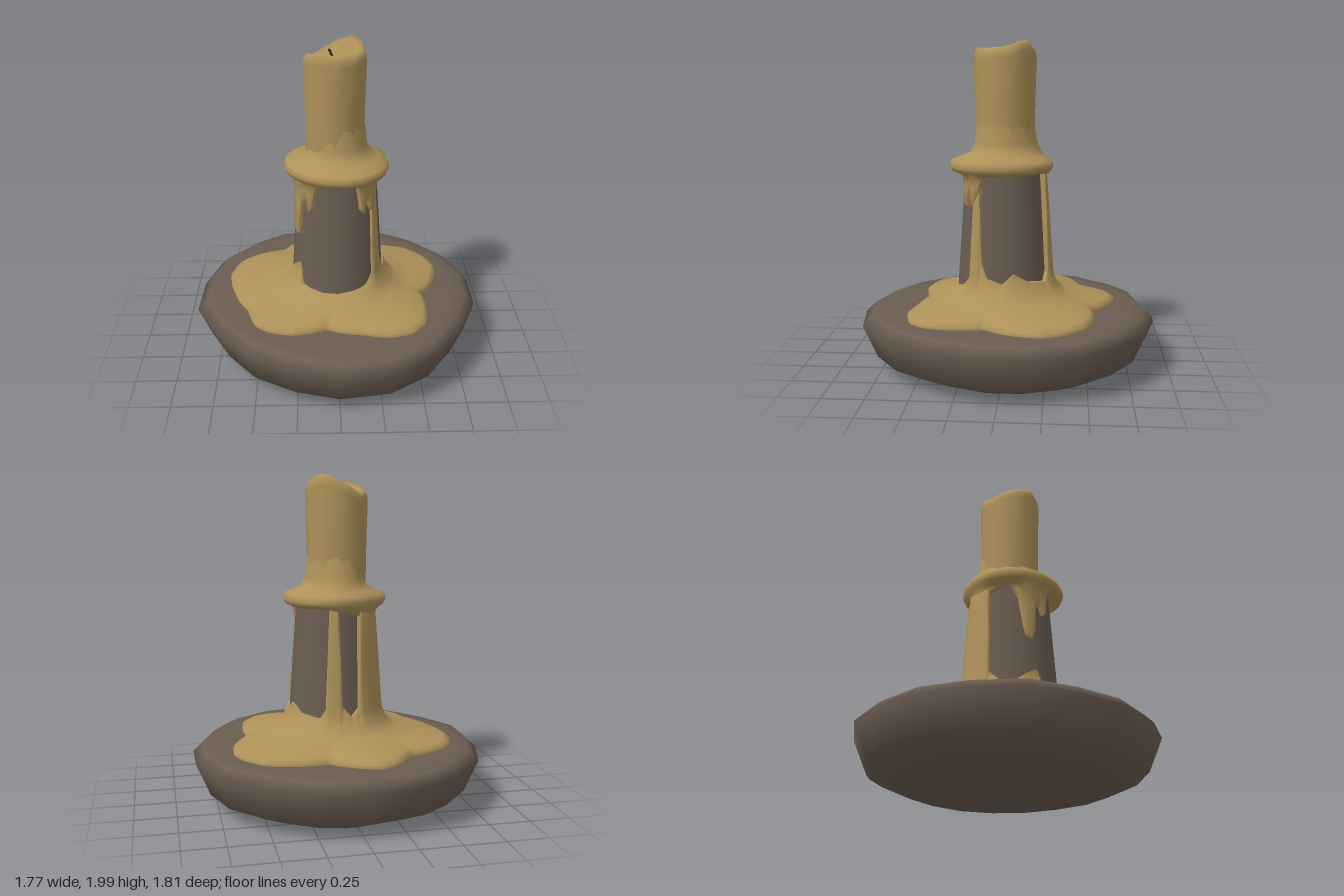
import * as THREE from 'three';

const RAD = Math.PI / 180;
const lerp = THREE.MathUtils.lerp;

// Azimuth runs in degrees from +z (0) towards +x (90).
const polar = ([x, z]) => [(Math.atan2(x, z) / RAD + 360) % 360, Math.hypot(x, z)];
const byAngle = (a, b) => a[0] - b[0];
const evenAngles = n => Array.from({ length: n }, (_, i) => i * 360 / n);

// Periodic linear lookup in a list of [azimuth, value]
function sample(table, az) {
  const n = table.length;
  for (let i = 0; i < n; i++) {
    const [a0, v0] = table[i];
    const [a1, v1] = table[(i + 1) % n];
    const span = (a1 - a0 + 360) % 360;
    const d = (az - a0 + 360) % 360;
    if (d <= span) return lerp(v0, v1, d / span);
  }
  return table[0][1];
}

// Skin through closed rings; profile(az) lists [radius, y] from bottom to top
function loft(angles, profile, cx = 0, cz = 0) {
  const columns = angles.map(profile);
  const n = angles.length, rings = columns[0].length;
  const pos = [], index = [];
  for (let i = 0; i < rings; i++) {
    angles.forEach((az, j) => {
      const [r, y] = columns[j][i];
      pos.push(cx + r * Math.sin(az * RAD), y, cz + r * Math.cos(az * RAD));
    });
  }
  for (let i = 0; i < rings - 1; i++) {
    for (let j = 0; j < n; j++) {
      const k = (j + 1) % n;
      const a = i * n + j, b = i * n + k, c = b + n, d = a + n;
      index.push(a, b, c, a, c, d);
    }
  }
  const g = new THREE.BufferGeometry();
  g.setAttribute('position', new THREE.Float32BufferAttribute(pos, 3));
  g.setIndex(index);
  g.computeVertexNormals();
  return g;
}

// Rough outline of the dish rim, [x, z]
const DISH = [
  [0.1, -0.91], [0.31, -0.86], [0.57, -0.70], [0.78, -0.47], [0.88, -0.18], [0.88, 0.11],
  [0.77, 0.40], [0.59, 0.67], [0.33, 0.85], [0, 0.90], [-0.29, 0.82], [-0.56, 0.66],
  [-0.75, 0.42], [-0.89, 0.15], [-0.88, -0.17], [-0.79, -0.46], [-0.58, -0.70],
  [-0.39, -0.83], [0, -0.91],
].map(polar).sort(byAngle);

// Outline of the wax puddle, [x, z]
const PUDDLE = [
  [-0.14, -0.69], [-0.03, -0.66], [0.14, -0.54], [0.40, -0.53], [0.49, -0.50], [0.62, -0.36],
  [0.66, -0.24], [0.63, -0.07], [0.53, 0.09], [0.55, 0.30], [0.53, 0.43], [0.45, 0.53],
  [0.31, 0.57], [0.15, 0.54], [-0.07, 0.48], [-0.28, 0.535], [-0.42, 0.50], [-0.50, 0.44],
  [-0.56, 0.26], [-0.66, 0.05], [-0.70, -0.16], [-0.65, -0.33], [-0.57, -0.41],
  [-0.36, -0.49], [-0.22, -0.66],
].map(polar).sort(byAngle);

// Upper edge of the wax skirt; long drips reach the collar
const SKIRT_TOP = [
  [0, 0.49], [30, 0.51], [40, 0.54], [46, 0.58], [50, 1.24], [58, 1.24], [63, 0.68],
  [72, 0.58], [90, 0.55], [104, 0.61], [122, 0.56], [150, 0.54], [158, 0.6], [162, 1.24],
  [174, 1.24], [178, 0.62], [190, 0.55], [200, 0.6], [205, 1.24], [244, 1.24], [248, 0.62],
  [270, 0.52], [290, 0.6], [304, 0.64], [309, 0.62], [313, 0.51], [340, 0.49],
];

// Lower edge of the collar with its short drips
const COLLAR_EDGE = [
  [0, 1.21], [26, 1.2], [30, 1.03], [36, 1.0], [42, 1.1], [47, 1.0], [58, 1.08], [66, 1.2],
  [90, 1.21], [150, 1.22], [180, 1.18], [204, 1.15], [225, 1.1], [246, 1.15], [270, 1.2],
  [282, 1.1], [290, 0.86], [302, 0.83], [306, 1.05], [314, 1.08], [318, 1.01], [325, 1.03],
  [329, 1.2],
];

// Uneven broken rim of the candle
const RIM = [
  [0, 1.95], [45, 1.945], [90, 1.955], [110, 1.97], [135, 2.0], [155, 1.985], [180, 1.95],
  [225, 1.88], [252, 1.9], [288, 1.935], [324, 1.96],
];

const POST_Z = 0.02;
const postRadius = y => lerp(0.29, 0.235, (y - 0.45) / 0.77);

export function createModel() {
  const wax = new THREE.MeshStandardMaterial({ color: 0xae9159 });
  wax.name = 'wax';
  const iron = new THREE.MeshStandardMaterial({ color: 0x6a5d51 });
  iron.name = 'dark iron';
  const char = new THREE.MeshStandardMaterial({ color: 0x2a2421 });
  char.name = 'charred wick';

  const group = new THREE.Group();
  group.name = 'meltedCandle';
  const add = (name, geometry, material) => {
    const mesh = new THREE.Mesh(geometry, material);
    mesh.name = name;
    group.add(mesh);
    return mesh;
  };

  // Faceted dish with a bevelled rim
  add('dish', loft(DISH.map(p => p[0]), az => {
    const r = sample(DISH, az);
    return [[0, 0], [r * 0.69, 0], [r * 0.905, 0.09], [r, 0.29], [r * 0.935, 0.347],
      [r * 0.85, 0.35], [0, 0.35]];
  }), iron);

  // Tapered holder post
  add('post', loft(evenAngles(20), () =>
    [0.35, 0.6, 0.9, 1.25].map(y => [postRadius(y), y]), 0, POST_Z), iron);

  // Puddle rising into a skirt and long drips around the post
  add('waxPuddle', loft(evenAngles(180), az => {
    const out = sample(PUDDLE, az);
    const top = sample(SKIRT_TOP, az);
    const bulge = top > 0.8 ? 0.022 : 0.012;
    const climb = [0.58, 0.75, 1.0, top].map(y => Math.min(y, top));
    return [
      [out, 0.348], [out, 0.372], [out * 0.95, 0.392],
      [lerp(0.38, out, 0.45), 0.418], [0.385, 0.445], [0.325, Math.min(0.5, top - 0.005)],
      ...climb.map(y => [postRadius(y) + bulge, y]),
      [postRadius(top) - 0.012, top + 0.004],
    ];
  }, 0, POST_Z * 0.5), wax);

  // Rounded wax collar with short drips
  add('waxCollar', loft(evenAngles(120), az => {
    const edge = sample(COLLAR_EDGE, az);
    const wide = 0.318 + 0.012 * Math.cos(az * RAD) + 0.008 * Math.sin(3 * az * RAD);
    const back = Math.max(0, -Math.cos((az - 10) * RAD)) ** 4;
    const mid = lerp(edge, 1.19, 0.6);
    return [
      [postRadius(edge) - 0.012, edge], [postRadius(edge) + 0.022, edge + 0.006],
      [postRadius(mid) + 0.026, mid], [0.275, Math.max(1.19, edge)],
      [wide * 0.96, 1.215], [wide, 1.243], [wide * 0.965, 1.275],
      [0.25, 1.3], [0.2 + back * 0.03, 1.325], [0.178 + back * 0.03, 1.38],
      [0.165 + back * 0.02, 1.5],
    ];
  }, 0, POST_Z), wax);

  // Candle stick with a hollow, melted top
  add('candle', loft(evenAngles(20), az => {
    const rim = sample(RIM, az);
    const facet = 1 + 0.02 * Math.cos(az * 10 * RAD);
    return [
      [0.178, 1.28], [0.178 * facet, 1.4], [0.182 * facet, 1.65], [0.188 * facet, rim - 0.065],
      [0.184 * facet, rim - 0.03], [0.168 * facet, rim], [0.145, rim - 0.015],
      [0.115, lerp(rim, 1.84, 0.6)], [0.07, 1.84], [0, 1.825],
    ];
  }, -0.015, 0.013), wax);

  // Short bent wick
  const path = new THREE.CatmullRomCurve3([
    new THREE.Vector3(-0.02, 1.81, -0.01),
    new THREE.Vector3(-0.025, 1.88, -0.012),
    new THREE.Vector3(-0.045, 1.93, -0.025),
  ]);
  add('wick', new THREE.TubeGeometry(path, 6, 0.008, 6), char);
  const tip = add('wickTip', new THREE.SphereGeometry(0.009, 6, 4), char);
  tip.position.copy(path.getPoint(1));

  return group;
}
